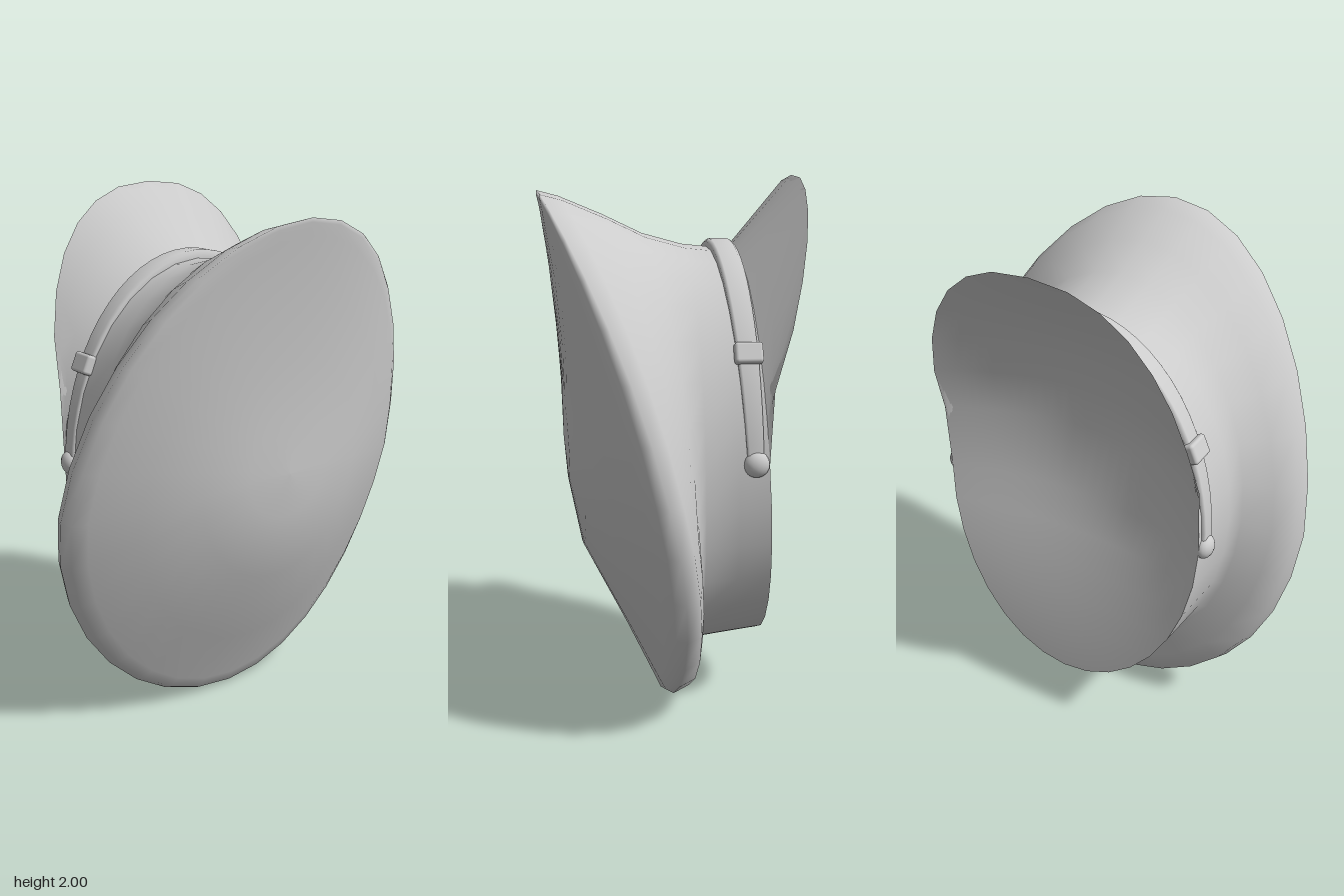
import * as THREE from 'three';
import { RoundedBoxGeometry } from 'three/addons/geometries/RoundedBoxGeometry.js';

const SEG = 32;
const lerp = THREE.MathUtils.lerp;
const mat = new THREE.MeshStandardMaterial({ color: 0xcccccc, side: THREE.DoubleSide });

// Point on an egg-shaped ring; z runs smoothly through bottom, side and top values,
// and taper draws in the upper half
function ringPoint([rx, yb, ym, yt, zb, zm, zt, taper = 0], a) {
  const s = Math.sin(a);
  return [
    rx * Math.cos(a) * (1 - taper * Math.max(0, s)),
    ym + s * (s > 0 ? yt - ym : ym - yb),
    zm + s * (zt - zb) / 2 + s * s * ((zt + zb) / 2 - zm),
  ];
}

// Smooth skin through a row of rings, each a function of the angle
function loft(name, rings, sweep = Math.PI * 2) {
  const closed = sweep > 6;
  const n = closed ? SEG : SEG + 1;
  const pos = [], idx = [];
  for (const ring of rings)
    for (let j = 0; j < n; j++) pos.push(...ring((j / SEG) * sweep));
  for (let i = 0; i < rings.length - 1; i++)
    for (let j = 0; j < SEG; j++) {
      const k = (j + 1) % n;
      const a = i * n + j, b = i * n + k, c = a + n, d = b + n;
      idx.push(a, c, d, a, d, b);
    }
  const g = new THREE.BufferGeometry();
  g.setAttribute('position', new THREE.Float32BufferAttribute(pos, 3));
  g.setIndex(idx);
  g.computeVertexNormals();
  const mesh = new THREE.Mesh(g, mat);
  mesh.name = name;
  return mesh;
}

// Depth of the opening and peak edge at a given height
const EDGE = [[0.23, -0.35], [1.0, -0.29], [1.18, -0.275], [1.5, -0.38], [1.8, -0.445], [2.0, -0.48]];
function edgeZ(y) {
  let i = 0;
  while (i < EDGE.length - 2 && y > EDGE[i + 1][0]) i++;
  const [y0, z0] = EDGE[i], [y1, z1] = EDGE[i + 1];
  return lerp(z0, z1, (y - y0) / (y1 - y0));
}
// Outline of the head opening below and the peak above
function edgePoint(a) {
  const s = Math.sin(a), c = Math.cos(a);
  const y = s > 0 ? 1 + Math.pow(s, 0.8) : 1 + 0.77 * s;
  const x = s > 0 ? Math.sign(c) * (0.54 + 0.03 * s) * Math.pow(Math.abs(c), 0.85) : 0.54 * c;
  return [x, y, edgeZ(y)];
}

// Lining: rows from edge to edge, hollowed most under the peak
function liningRow(t) {
  const [ex, y, ez] = edgePoint(t);
  const h = (y - 0.23) / 1.77;
  const hollow = 0.17 * Math.sin(Math.PI * h * h);
  return (a) => [ex * Math.cos(a), y, ez + hollow * Math.sin(a) ** 2];
}

export function createModel() {
  const group = new THREE.Group();
  group.name = 'peakedCap';

  // Crown and band, from the middle of the front face back to the opening
  // each row: half width, y bottom / middle / top, z bottom / side / top, taper
  const root = [0.54, 0.23, 1.0, 1.74, -0.35, -0.29, -0.25];
  const rows = [
    [0.0, 1.02, 1.02, 1.02, 0.395, 0.395, 0.395],
    [0.18, 0.85, 1.02, 1.25, 0.38, 0.385, 0.4],
    [0.36, 0.6, 1.0, 1.45, 0.33, 0.35, 0.415, 0.04],
    [0.56, 0.28, 0.97, 1.68, 0.165, 0.27, 0.44, 0.08],
    [0.72, 0.06, 0.93, 1.88, 0.06, 0.175, 0.47, 0.08],
    [0.765, 0.015, 0.92, 1.925, 0.04, 0.135, 0.48, 0.08],
    [0.785, 0.0, 0.92, 1.94, 0.015, 0.095, 0.48, 0.08],
    [0.765, 0.03, 0.92, 1.92, -0.05, 0.045, 0.4, 0.08],
    [0.69, 0.12, 0.94, 1.855, -0.08, 0.01, 0.24, 0.06],
    [0.58, 0.195, 0.98, 1.785, -0.08, -0.02, 0.09, 0.03],
    [0.55, 0.2, 1.0, 1.745, -0.1, -0.065, -0.06],
    [0.545, 0.215, 1.0, 1.735, -0.22, -0.18, -0.16],
    root,
  ];
  group.add(loft('crownAndBand', rows.map((r) => (a) => ringPoint(r, a))));

  // Upper side of the peak, narrowing to nothing below the temples
  const peak = [0, 0.33, 0.67, 1].map((t) => (a) => {
    const p = ringPoint(root, a), e = edgePoint(a);
    return p.map((v, i) => lerp(v, e[i], t));
  });
  group.add(loft('peak', peak));

  const lining = [];
  for (let i = 0; i <= SEG / 2; i++)
    lining.push(liningRow((i / SEG) * Math.PI * 2 - Math.PI / 2));
  group.add(loft('lining', lining, Math.PI));

  // Strap over the front of the band: [side of centre line, height off the band]
  const section = [[1, -0.01], [1, 0.014], [0.75, 0.025], [-0.75, 0.025], [-1, 0.014], [-1, -0.01]];
  const strap = section.map(([side, lift]) => (a) => {
    const s = Math.sin(a);
    return [
      (0.54 + lift * 0.5) * Math.cos(a),
      1 + (0.74 + lift) * s,
      lerp(-0.24, -0.2, s) + side * lerp(0.028, 0.046, s),
    ];
  });
  group.add(loft('strap', strap, Math.PI));

  // Strap slides and side buttons
  for (const side of [-1, 1]) {
    const slide = new THREE.Mesh(new RoundedBoxGeometry(0.04, 0.075, 0.1, 2, 0.012), mat);
    slide.name = side > 0 ? 'leftSlide' : 'rightSlide';
    slide.position.set(side * 0.478, 1.383, -0.222);
    slide.rotation.z = side * 0.41;
    const button = new THREE.Mesh(new THREE.SphereGeometry(0.046, 16, 12), mat);
    button.name = side > 0 ? 'leftButton' : 'rightButton';
    button.position.set(side * 0.54, 1.005, -0.243);
    button.scale.x = 0.75;
    group.add(slide, button);
  }
  return group;
}
